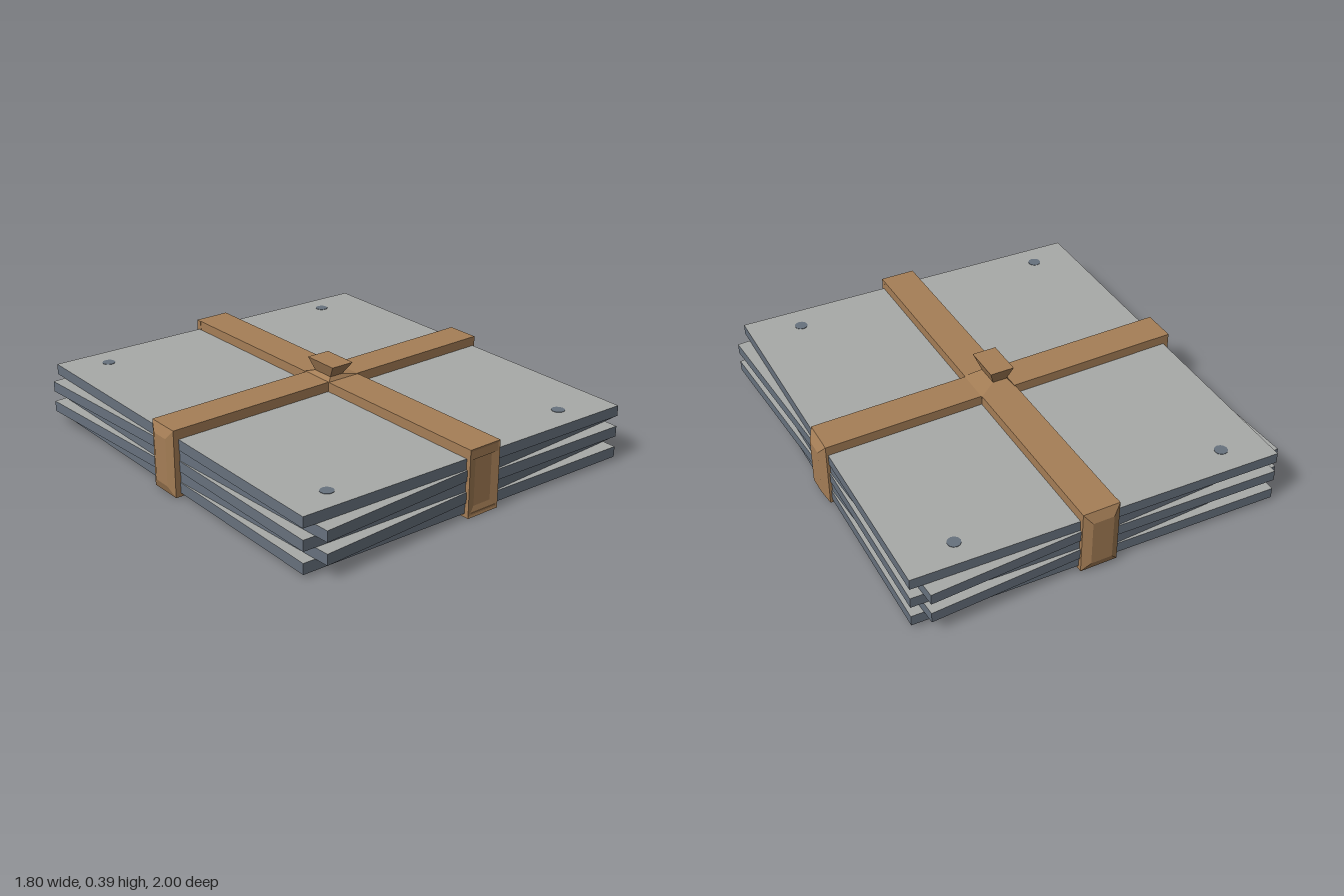
import * as THREE from 'three';

const slate = new THREE.MeshStandardMaterial({ color: 0x67717d });
slate.name = 'slate edge';
const grey = new THREE.MeshStandardMaterial({ color: 0xa8aaa8 });
grey.name = 'pale grey face';
const tan = new THREE.MeshStandardMaterial({ color: 0xa57e56 });
tan.name = 'tan strap';

// Flat-shaded solid through four-cornered rings; groups: 0 = sides and start, 1 = end face
function loft(rings) {
  const tris = [];
  const quad = (a, b, c, d) => tris.push([a, b, c], [a, c, d]);
  const first = rings[0], last = rings[rings.length - 1];
  for (let r = 0; r < rings.length - 1; r++) {
    for (let i = 0; i < 4; i++) {
      const j = (i + 1) % 4;
      quad(rings[r][i], rings[r][j], rings[r + 1][j], rings[r + 1][i]);
    }
  }
  quad(first[3], first[2], first[1], first[0]);
  const sideCount = tris.length * 3;
  quad(...last);
  // Turn the solid outward whichever way the rings run
  const v = (p) => new THREE.Vector3(...p);
  const volume = tris.reduce((s, [a, b, c]) => s + v(a).dot(v(b).cross(v(c))), 0);
  const pos = tris.flatMap(([a, b, c]) => (volume < 0 ? [a, c, b] : [a, b, c]).flat());
  const g = new THREE.BufferGeometry();
  g.setAttribute('position', new THREE.Float32BufferAttribute(pos, 3));
  g.addGroup(0, sideCount, 0);
  g.addGroup(sideCount, 6, 1);
  g.computeVertexNormals();
  return g;
}

// Corners given as [x, z], raised to height y
const ring = (corners, y) => corners.map(([x, z]) => [x, y, z]);
const rect = (x0, x1, z0, z1) => [[x0, z0], [x0, z1], [x1, z1], [x1, z0]];

export function createModel() {
  const model = new THREE.Group();
  const add = (name, geometry, material) => {
    const m = new THREE.Mesh(geometry, material);
    m.name = name;
    model.add(m);
    return m;
  };

  // Five stacked plates, alternately twisted
  const base = 0.017, thick = 0.0492, top = base + 5 * thick, strapTop = 0.308;
  const straight = [[-0.84, -0.975], [-0.855, 0.93], [0.84, 0.97], [0.855, -0.935]];
  const twisted = [[-0.9, -0.905], [-0.795, 1], [0.9, 0.9], [0.795, -1]];
  for (let i = 0; i < 5; i++) {
    const c = i % 2 ? twisted : straight;
    add('plate' + (i + 1), loft([ring(c, base + i * thick), ring(c, base + (i + 1) * thick)]), [slate, grey]);
  }

  // Small round marks near the corners of the top plate
  for (const [x, z] of [[-0.64, -0.845], [0.61, -0.825], [-0.655, 0.82], [0.6, 0.84]]) {
    add('cornerMark', new THREE.CylinderGeometry(0.03, 0.03, 0.003, 12), slate).position.set(x, top + 0.0005, z);
  }

  // Crossed straps, above and below
  const sideStrap = [[-0.873, -0.08], [-0.873, 0.08], [0.857, 0.052], [0.857, -0.11]];
  const frontStrap = [[-0.06, -0.968], [-0.045, 0.968], [0.12, 0.968], [0.11, -0.968]];
  for (const [name, c] of [['sideStrap', sideStrap], ['frontStrap', frontStrap]]) {
    add(name + 'Top', loft([ring(c, top - 0.002), ring(c, strapTop)]), [tan, tan]);
    add(name + 'Bottom', loft([ring(c, 0), ring(c, base + 0.002)]), [tan, tan]);
  }

  // Strap ends folded over the edges: a bevelled face across the width a0..a1
  function strapEnd(name, alongX, a0, a1, inner, shoulder, outer) {
    const section = (d, inset, rise) => [[a0 + inset, rise], [a1 - inset, rise],
      [a1 - inset, strapTop - rise], [a0 + inset, strapTop - rise]]
      .map(([a, y]) => (alongX ? [d, y, a] : [a, y, d]));
    add(name, loft([section(inner, 0, 0), section(shoulder, 0, 0), section(outer, 0.037, 0.045)]), [tan, tan]);
  }
  strapEnd('leftStrapEnd', true, -0.11, 0.052, 0.84, 0.858, 0.882);
  strapEnd('rightStrapEnd', true, -0.08, 0.08, -0.84, -0.873, -0.89);
  strapEnd('frontStrapEnd', false, -0.045, 0.12, 0.94, 0.97, 0.961);
  strapEnd('backStrapEnd', false, -0.062, 0.11, -0.94, -0.97, -0.99);

  // Knot: low pyramid, narrow waist, flared head
  add('knot', loft([
    ring(rect(-0.05, 0.117, -0.103, 0.07), strapTop - 0.01),
    ring(rect(-0.05, 0.117, -0.103, 0.07), strapTop),
    ring(rect(-0.033, 0.035, -0.052, 0.058), 0.326),
    ring(rect(-0.057, 0.057, -0.073, 0.103), 0.388),
  ]), [tan, tan]);

  return model;
}
